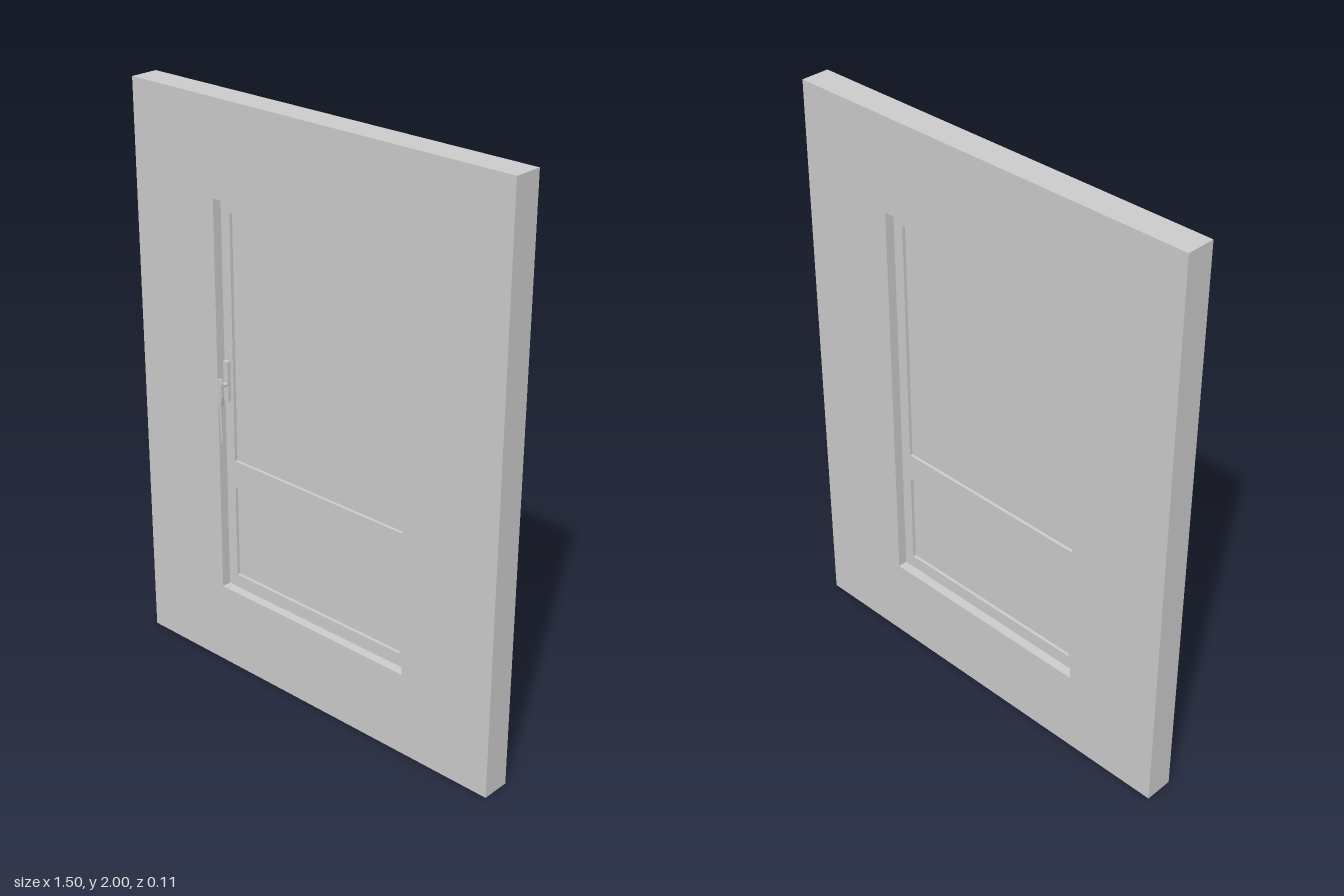
import * as THREE from 'three';

const grey = new THREE.MeshStandardMaterial({ color: 0xcccccc, flatShading: true });
const MID_Z = -0.005; // middle of the wall thickness

function add(parent, name, geometry, x = 0, y = 0, z = 0) {
  const mesh = new THREE.Mesh(geometry, grey);
  mesh.name = name;
  mesh.position.set(x, y, z);
  parent.add(mesh);
  return mesh;
}

const corners = (x0, y0, x1, y1) =>
  [[x0, y0], [x1, y0], [x1, y1], [x0, y1]].map(([x, y]) => new THREE.Vector2(x, y));

// Flat slab with rectangular holes, centred on MID_Z
function slab(parent, name, outer, holes, depth) {
  const shape = new THREE.Shape(corners(...outer));
  holes.forEach((h) => shape.holes.push(new THREE.Path(corners(...h).reverse())));
  const geometry = new THREE.ExtrudeGeometry(shape, { depth, bevelEnabled: false });
  return add(parent, name, geometry, 0, 0, MID_Z - depth / 2);
}

export function createModel() {
  const model = new THREE.Group();
  model.name = 'wallWithWindow';

  // Wall with its opening
  const opening = [-0.4, 0.295, 0.4, 1.68];
  slab(model, 'wall', [-0.75, 0, 0.75, 2], [opening], 0.1);

  // Window frame with a cross rail, and a recessed pane in each light
  const lights = [[-0.362, 0.342, 0.362, 0.677], [-0.362, 0.774, 0.362, 1.635]];
  const windowGroup = new THREE.Group();
  windowGroup.name = 'window';
  model.add(windowGroup);
  slab(windowGroup, 'frame', opening, lights, 0.034);
  lights.forEach(([x0, y0, x1, y1], i) =>
    add(windowGroup, i ? 'upperPane' : 'lowerPane',
      new THREE.BoxGeometry(x1 - x0, y1 - y0, 0.012), 0, (y0 + y1) / 2, MID_Z));

  // Handle: back plate, neck and tapering lever
  const handle = new THREE.Group();
  handle.name = 'handle';
  handle.position.set(-0.384, 0, 0);
  model.add(handle);
  add(handle, 'handlePlate', new THREE.BoxGeometry(0.021, 0.14, 0.014), 0, 1.06, 0.017);
  const neck = new THREE.CylinderGeometry(0.007, 0.007, 0.03, 12).rotateX(Math.PI / 2);
  add(handle, 'handleNeck', neck, 0, 1.05, 0.034);

  const half = [[0.004, 0.85], [0.004, 0.98], [0.009, 1.01], [0.009, 1.06], [0.005, 1.075]];
  const outline = [...half, ...half.map(([x, y]) => [-x, y]).reverse()];
  const lever = new THREE.ExtrudeGeometry(
    new THREE.Shape(outline.map(([x, y]) => new THREE.Vector2(x, y))),
    { depth: 0.011, bevelEnabled: false });
  // The lever leans slightly towards the wall at its tip
  const p = lever.attributes.position;
  for (let i = 0; i < p.count; i++) p.setZ(i, p.getZ(i) + 0.044 - (1.075 - p.getY(i)) * 0.025);
  lever.computeVertexNormals();
  add(handle, 'handleLever', lever);

  return model;
}
